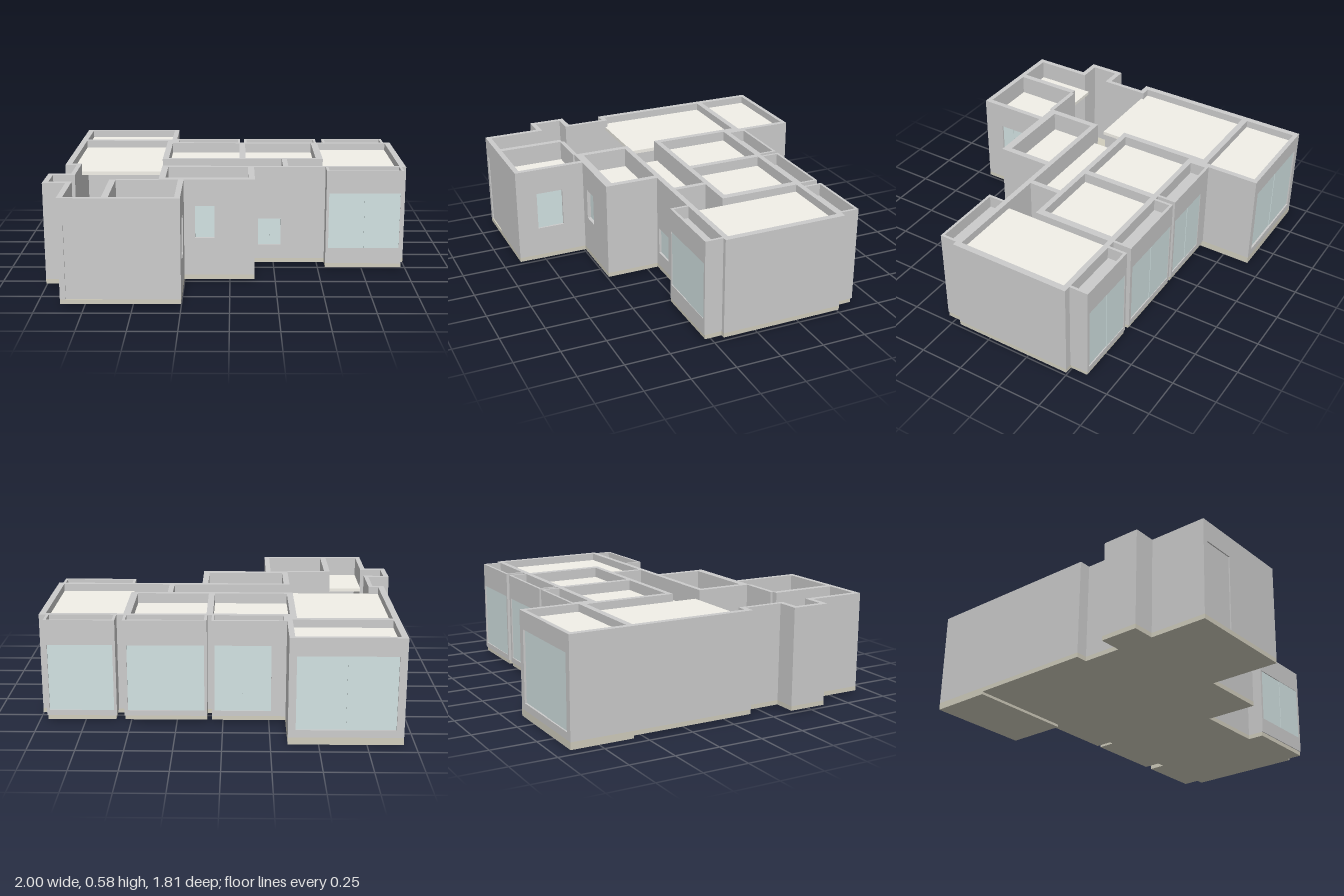
import * as THREE from 'three';

const TOP = 0.578, BASE = 0.04;
const mat = (color) => new THREE.MeshStandardMaterial({ color });
const wallMat = mat(0xcccccc);
const ceilingMat = mat(0xf2f0e8);
const floorMat = mat(0xd0cdbd);
const glassMat = mat(0xd2e2e2);

export function createModel() {
  const model = new THREE.Group();

  // Box given by its limits on each axis
  function block(name, x0, x1, y0, y1, z0, z1, material = wallMat, parent = model) {
    const mesh = new THREE.Mesh(new THREE.BoxGeometry(x1 - x0, y1 - y0, z1 - z0), material);
    mesh.position.set((x0 + x1) / 2, (y0 + y1) / 2, (z0 + z1) / 2);
    mesh.name = name;
    parent.add(mesh);
  }

  // Wall around one opening [from, to, bottom, top], filled with two panes or a door leaf
  function openWall(name, x0, x1, z0, z1, [a, b, y0, y1], isDoor = false) {
    const group = new THREE.Group();
    group.name = name;
    model.add(group);
    const alongX = x1 - x0 > z1 - z0;
    const start = alongX ? x0 : z0, end = alongX ? x1 : z1;
    const n0 = alongX ? z0 : x0, n1 = alongX ? z1 : x1;
    const piece = (label, s, e, lo, hi, m = wallMat, p = n0, q = n1) => alongX
      ? block(label, s, e, lo, hi, p, q, m, group)
      : block(label, p, q, lo, hi, s, e, m, group);
    piece('wallSide', start, a, BASE, TOP);
    piece('wallSide', b, end, BASE, TOP);
    piece('lintel', a, b, y1, TOP);
    if (y0 > BASE) piece('sill', a, b, BASE, y0);
    const mid = (n0 + n1) / 2, c = (a + b) / 2;
    if (isDoor) {
      piece('doorLeaf', a, b, y0, y1, wallMat, mid - 0.008, mid + 0.008);
    } else {
      piece('paneA', a, c, y0, y1, glassMat, mid - 0.004, mid + 0.002);
      piece('paneB', c, b, y0, y1, glassMat, mid - 0.001, mid + 0.005);
    }
  }

  // Floor slab following the outline of the plan (x, z)
  const outline = [
    [-0.94, -0.56], [-0.34, -0.56], [-0.34, -0.6], [0.06, -0.6], [0.06, -0.5], [0.085, -0.5],
    [0.085, -0.6], [0.53, -0.6], [0.53, -0.5], [0.58, -0.5], [0.58, -0.6], [0.95, -0.6],
    [0.95, -0.5], [0.995, -0.5], [0.995, 0.195], [0.97, 0.195], [0.97, 0.29], [0.54, 0.29],
    [0.54, 0.195], [0.135, 0.195], [0.135, 0.5], [-0.25, 0.5], [-0.25, 0.905], [-0.875, 0.905],
    [-0.875, 0.58], [-1, 0.58], [-1, 0.365], [-0.875, 0.365], [-0.875, 0.145], [-0.94, 0.145],
  ];
  const shape = new THREE.Shape(outline.map(([x, z]) => new THREE.Vector2(x, -z)));
  const slab = new THREE.Mesh(
    new THREE.ExtrudeGeometry(shape, { depth: BASE - 0.015, bevelEnabled: false }), floorMat);
  slab.rotation.x = -Math.PI / 2;
  slab.position.y = 0.015;
  slab.name = 'floorSlab';
  model.add(slab);
  block('backRoomSlab', -0.94, -0.34, 0, BASE, -0.905, -0.555, floorMat);

  // Plain walls [x0, x1, z0, z1]
  const walls = [
    // back room and large left room
    [-0.94, -0.905, -0.905, 0.145], [-0.37, -0.34, -0.905, -0.5], [-0.905, -0.37, -0.58, -0.545],
    [-0.395, -0.36, -0.545, -0.015],
    // stepped left side with niche
    [-0.905, -0.85, 0.115, 0.145], [-0.875, -0.85, 0.145, 0.365], [-1, -0.85, 0.365, 0.395],
    [-1, -0.97, 0.395, 0.55], [-1, -0.845, 0.55, 0.58], [-0.875, -0.845, 0.58, 0.875],
    // front rooms
    [-0.65, -0.615, 0.5, 0.875], [-0.615, -0.385, 0.485, 0.51],
    // middle front room
    [-0.385, -0.35, 0.165, 0.485], [0.1, 0.135, 0.195, 0.455], [-0.35, 0.135, 0.165, 0.195],
    // corridor and back rooms
    [-0.36, 0.54, -0.045, -0.015], [0.3, 0.33, -0.015, 0.165],
    [-0.36, 0.995, -0.5, -0.47], [0.055, 0.09, -0.47, -0.045], [0.5, 0.54, -0.47, -0.045],
    // right room
    [0.96, 0.995, -0.47, 0.165], [0.54, 0.995, 0.165, 0.195],
  ];
  walls.forEach(([x0, x1, z0, z1]) => block('wall', x0, x1, BASE, TOP, z0, z1));

  // Walls with windows and the entrance door
  openWall('backRoomWindowWall', -0.905, -0.37, -0.905, -0.88, [-0.9, -0.38, 0.08, 0.48]);
  openWall('entranceWall', -0.875, -0.25, 0.875, 0.905, [-0.845, -0.655, BASE, 0.46], true);
  openWall('frontRoomWindowWall', -0.28, -0.25, 0.5, 0.875, [0.63, 0.785, 0.21, 0.43]);
  openWall('middleRoomWindowWall', -0.385, 0.135, 0.455, 0.5, [-0.19, -0.085, 0.25, 0.43]);
  openWall('corridorWindowWall', 0.135, 0.54, 0.165, 0.195, [0.16, 0.29, 0.12, 0.275]);

  // Glazed bays: side walls, outer window wall and a sunken grey top
  function bay(name, x0, x1, zIn, zOut, opening) {
    const s = Math.sign(zOut - zIn), t = 0.015;
    const lo = Math.min(zIn, zOut), hi = Math.max(zIn, zOut);
    block(name + 'Side', x0, x0 + t, BASE, TOP, lo, hi);
    block(name + 'Side', x1 - t, x1, BASE, TOP, lo, hi);
    const zi = zOut - s * t;
    openWall(name + 'Window', x0 + 0.001, x1 - 0.001, Math.min(zi, zOut), Math.max(zi, zOut), opening);
    block(name + 'Top', x0 + t, x1 - t, 0.48, 0.51, lo + 0.002, hi - 0.002);
  }
  bay('backBayA', -0.34, 0.06, -0.5, -0.607, [-0.26, 0.045, 0.07, 0.44]);
  bay('backBayB', 0.085, 0.535, -0.5, -0.607, [0.1, 0.515, 0.07, 0.44]);
  bay('backBayC', 0.575, 0.955, -0.5, -0.607, [0.59, 0.94, 0.07, 0.44]);
  bay('frontBay', 0.54, 0.97, 0.195, 0.295, [0.555, 0.955, 0.13, 0.45]);

  // Room ceilings [x0, x1, z0, z1, top], sunk below the wall tops
  const ceilings = [
    [-0.905, -0.37, -0.88, -0.58, 0.535], [-0.905, -0.395, -0.545, 0.13, 0.535],
    [-0.36, 0.055, -0.47, -0.045, 0.52], [0.09, 0.5, -0.47, -0.045, 0.52],
    [0.54, 0.96, -0.47, 0.165, 0.535], [-0.35, 0.3, -0.015, 0.165, 0.465],
    [-0.35, 0.1, 0.195, 0.455, 0.465], [-0.845, -0.65, 0.52, 0.875, 0.465],
    [-0.615, -0.28, 0.51, 0.875, 0.465],
  ];
  ceilings.forEach(([x0, x1, z0, z1, y]) =>
    block('ceiling', x0, x1, y - 0.02, y, z0, z1, ceilingMat));

  return model;
}
